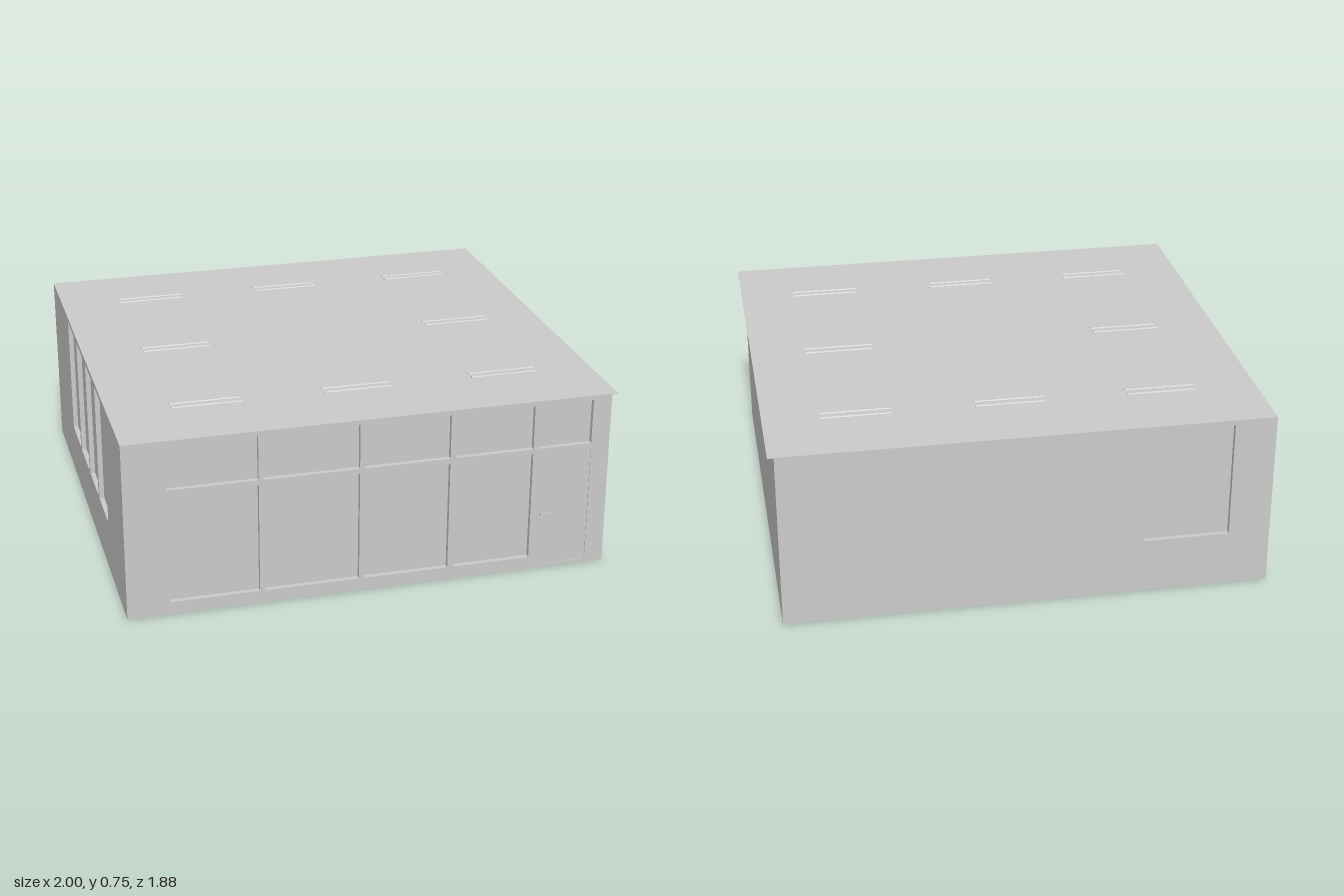
import * as THREE from 'three';

const X0 = -1, X1 = 0.975, Z0 = -0.94, Z1 = 0.93, H = 0.738, T = 0.03, RECESS = 0.02;
const grey = new THREE.MeshStandardMaterial({ color: 0xcccccc });

function box(name, parent, [x0, x1], [y0, y1], [z0, z1]) {
  const m = new THREE.Mesh(new THREE.BoxGeometry(x1 - x0, y1 - y0, z1 - z0), grey);
  m.position.set((x0 + x1) / 2, (y0 + y1) / 2, (z0 + z1) / 2);
  m.name = name;
  parent.add(m);
  return m;
}

function rectangle(target, u0, u1, v0, v1) {
  target.moveTo(u0, v0);
  target.lineTo(u1, v0);
  target.lineTo(u1, v1);
  target.lineTo(u0, v1);
  target.closePath();
  return target;
}

// Wall with its outer face at local z = 0; openings are [u0, u1, v0, v1, pane depth, name]
function wall(name, u0, u1, openings) {
  const g = new THREE.Group();
  g.name = name;
  const shape = rectangle(new THREE.Shape(), u0, u1, 0, H);
  for (const [a, b, c, d] of openings) shape.holes.push(rectangle(new THREE.Path(), a, b, c, d));
  const geo = new THREE.ExtrudeGeometry(shape, { depth: T, bevelEnabled: false });
  geo.translate(0, 0, -T);
  const panel = new THREE.Mesh(geo, grey);
  panel.name = name + 'Panel';
  g.add(panel);
  for (const [a, b, c, d, depth = RECESS, part = 'windowPane'] of openings) {
    box(part, g, [a, b], [c, d], [-depth - 0.008, -depth]);
  }
  return g;
}

export function createModel() {
  const model = new THREE.Group();
  model.name = 'room';

  // Front wall: window bays with transoms, and a door under the last transom
  const bays = [[-0.83, -0.47], [-0.45, -0.065], [-0.043, 0.305], [0.332, 0.652]];
  const frontOpenings = [];
  for (const [a, b] of bays) {
    frontOpenings.push([a, b, 0.053, 0.513], [a, b, 0.535, 0.722]);
  }
  frontOpenings.push([0.674, 0.898, 0.535, 0.722]);
  frontOpenings.push([0.674, 0.898, 0.015, 0.513, 0.003, 'door']);
  const front = wall('frontWall', X0, X1, frontOpenings);
  front.position.z = Z1;
  model.add(front);

  // Back wall with one window
  const back = wall('backWall', -X1, -X0, [[0.48, 0.83, 0.23, 0.72]]);
  back.rotation.y = Math.PI;
  back.position.z = Z0;
  model.add(back);

  // Side walls: four tall windows on one, the other plain
  const sideOpenings = [];
  for (let i = 0; i < 4; i++) {
    const a = -0.47 + i * 0.252;
    sideOpenings.push([a, a + 0.229, 0.22, 0.72]);
  }
  const windowSide = wall('windowSideWall', Z0 + T, Z1 - T, sideOpenings);
  windowSide.rotation.y = -Math.PI / 2;
  windowSide.position.x = X0;
  const plainSide = wall('plainSideWall', -Z1 + T, -Z0 - T, []);
  plainSide.rotation.y = Math.PI / 2;
  plainSide.position.x = X1;
  model.add(windowSide, plainSide);

  // Floor, and a thin roof sheet overhanging one side
  box('floor', model, [X0 + T, X1 - T], [0, 0.01], [Z0 + T, Z1 - T]);
  box('roof', model, [-1, 1], [H, H + 0.003], [Z0, Z1]);

  // Paired light tubes showing through the roof, with none in the centre
  const tube = new THREE.CylinderGeometry(0.007, 0.007, 0.284, 12).rotateZ(Math.PI / 2);
  for (const x of [-0.607, 0.012, 0.629]) {
    for (const z of [-0.623, -0.007, 0.61]) {
      if (x === 0.012 && z === -0.007) continue;
      for (const s of [-1, 1]) {
        const m = new THREE.Mesh(tube, grey);
        m.name = 'lightTube';
        m.position.set(x, H + 0.003, z + s * 0.02);
        model.add(m);
      }
    }
  }

  // Small ceiling mount near the middle
  box('ceilingMount', model, [-0.148, -0.138], [H - 0.02, H + 0.006], [-0.011, -0.001]);

  // Door handle: spindle, lever and keyhole cover
  const handle = new THREE.Group();
  handle.name = 'doorHandle';
  box('spindle', handle, [0.693, 0.701], [0.241, 0.249], [Z1 - 0.004, Z1 + 0.009]);
  box('lever', handle, [0.693, 0.737], [0.242, 0.248], [Z1 + 0.005, Z1 + 0.01]);
  const rose = new THREE.Mesh(new THREE.CylinderGeometry(0.007, 0.007, 0.006, 16).rotateX(Math.PI / 2), grey);
  rose.name = 'keyholeCover';
  rose.position.set(0.698, 0.222, Z1);
  handle.add(rose);
  model.add(handle);

  return model;
}
